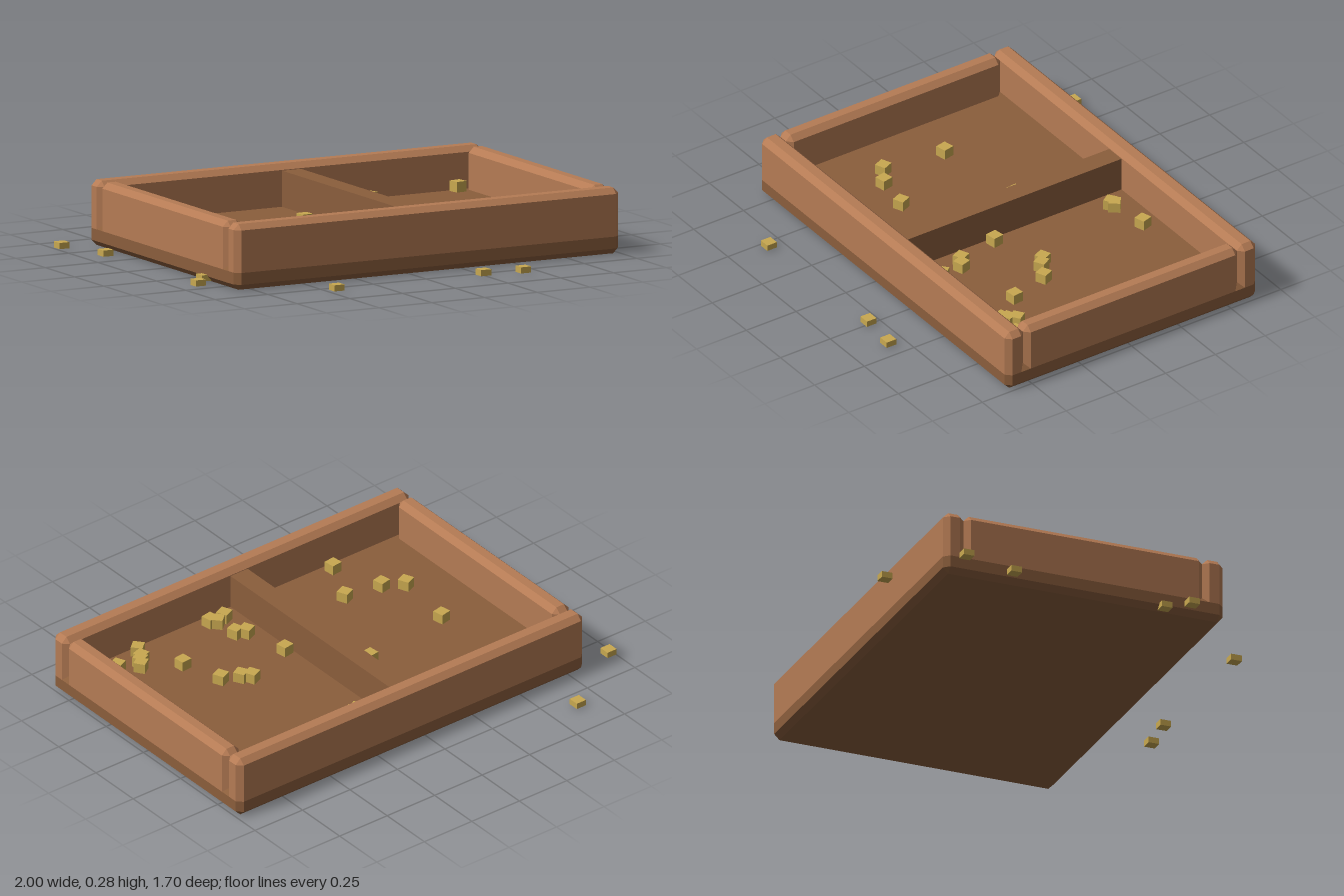
import * as THREE from 'three';
import { ConvexGeometry } from 'three/addons/geometries/ConvexGeometry.js';

// Box between two corners with every edge chamfered by c
function chamferBox(x0, x1, y0, y1, z0, z1, c) {
  const centre = [(x0 + x1) / 2, (y0 + y1) / 2, (z0 + z1) / 2];
  const half = [(x1 - x0) / 2, (y1 - y0) / 2, (z1 - z0) / 2];
  const points = [];
  for (const sx of [-1, 1]) for (const sy of [-1, 1]) for (const sz of [-1, 1]) {
    for (let full = 0; full < 3; full++) {
      const p = [sx, sy, sz].map((s, i) => centre[i] + s * (half[i] - (i === full ? 0 : c)));
      points.push(new THREE.Vector3(...p));
    }
  }
  return new ConvexGeometry(points);
}

export function createModel() {
  const group = new THREE.Group();
  const material = (name, color) => {
    const m = new THREE.MeshStandardMaterial({ color });
    m.name = name;
    return m;
  };
  const darkWood = material('darkWood', 0x8b5e3c);
  const lightWood = material('lightWood', 0xb57b54);
  const straw = material('straw', 0xc8a850);

  const add = (name, geometry, mat) => {
    const mesh = new THREE.Mesh(geometry, mat);
    mesh.name = name;
    group.add(mesh);
    return mesh;
  };

  // Tray floor slab and the four rim walls
  const L = -0.827, R = 0.997, F = 0.62, B = -0.64, T = 0.277, W = 0.087, C = 0.024;
  add('base', chamferBox(L, R, 0, 0.098, B, F, C), darkWood);
  const wall = (name, x0, x1, z0, z1) =>
    add(name, chamferBox(x0, x1, 0.05, T, z0, z1, C), lightWood);
  wall('frontWall', L, R, F - W - 0.005, F);
  wall('backWall', L, R, B, B + W + 0.005);
  wall('leftWall', R - W, R, B + W + 0.005, F - W - 0.005);
  wall('rightWall', L, L + W, B + W + 0.005, F - W - 0.005);

  // Divider between the two compartments
  const divider = add('divider', new THREE.BoxGeometry(0.09, 0.17, 1.08), darkWood);
  divider.position.set(0.083, 0.165, -0.01);

  // Loose pieces lying on the tray floor: x, z, turn
  const cube = new THREE.BoxGeometry(0.05, 0.045, 0.05);
  [
    [0.215, -0.435, 0.6], [0.235, -0.44, 0.9], [0.405, -0.465, 0.3], [0.855, -0.515, 0.15],
    [-0.5, -0.09, 0.2], [-0.075, -0.15, 0.1], [0.165, 0.115, 0.15], [0.4, 0.035, 0.4],
    [0.435, 0.065, 0.5], [0.51, 0.105, 0.4], [0.565, 0.29, 0.1], [0.21, 0.315, 0.4],
    [0.25, 0.34, 0.3], [0.21, 0.465, 0.4], [0.26, 0.445, 0.7], [0.28, 0.47, 0.15],
    [0.715, 0.38, 0.6], [0.695, 0.41, 0.4], [0.675, 0.43, 0.3], [0.65, 0.485, 0.7],
    [0.795, 0.435, 0.4], [-0.535, 0.195, 0.4], [-0.45, 0.25, 0.2], [-0.28, 0.28, 0.4],
    [-0.375, 0.48, 0.1],
  ].forEach(([x, z, turn]) => {
    const piece = add('trayPiece', cube, straw);
    piece.position.set(x, 0.12, z);
    piece.rotation.y = turn;
  });

  // Flat pieces scattered on the ground around the tray
  const chip = new THREE.BoxGeometry(0.048, 0.026, 0.048);
  [
    [-0.637, -0.83], [-0.975, -0.605], [-0.903, -0.36], [-0.908, 0.44],
    [-0.83, 0.35], [-0.462, 0.82], [0.243, 0.803], [0.42, 0.825],
  ].forEach(([x, z]) => add('groundPiece', chip, straw).position.set(x, 0.017, z));

  return group;
}
